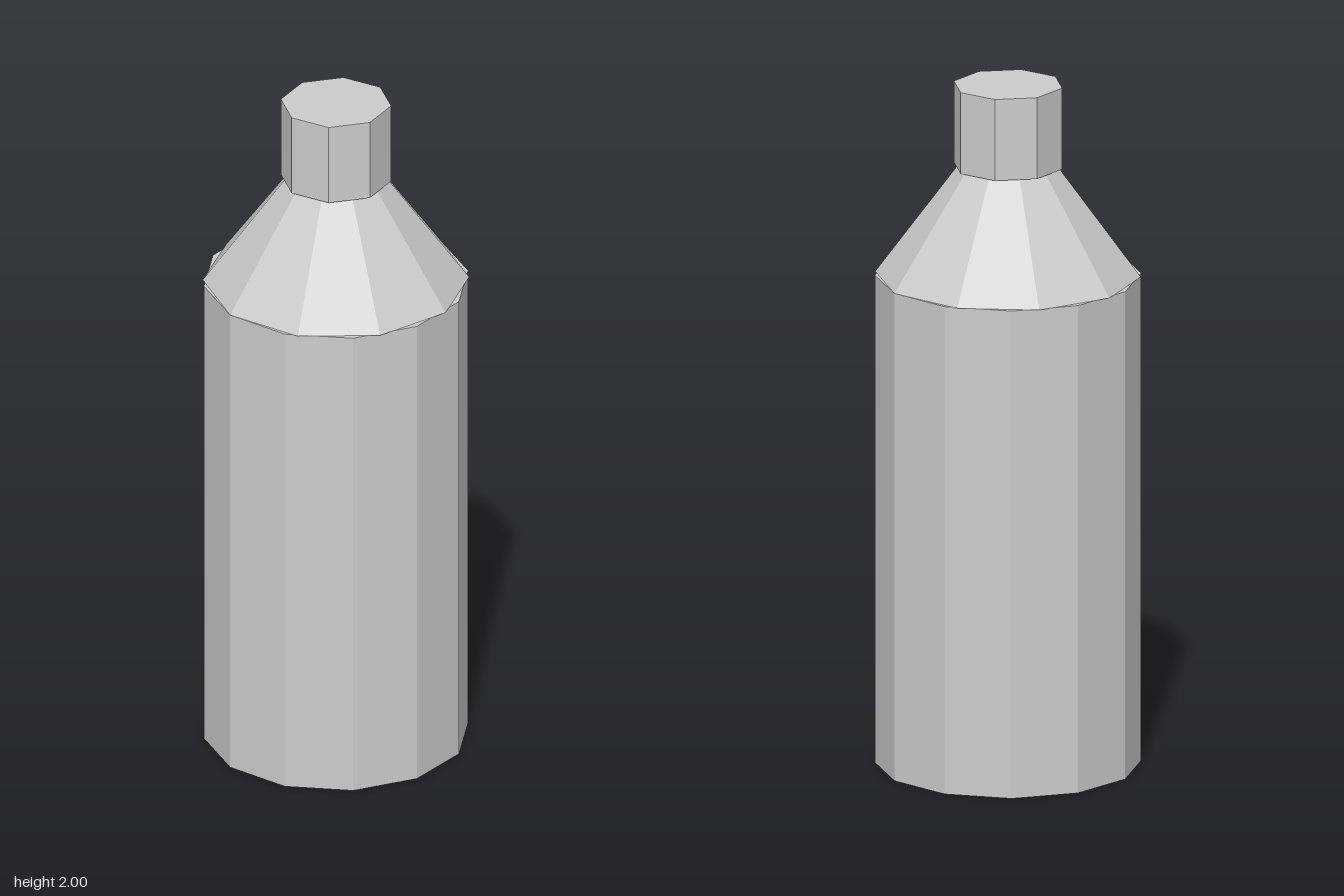
import * as THREE from 'three';

export function createModel() {
  const bottle = new THREE.Group();
  bottle.name = 'bottle';
  const grey = new THREE.MeshStandardMaterial({ color: 0xcccccc, flatShading: true });
  grey.name = 'light grey';

  // Closed faceted section standing between two heights
  function addSection(name, topRadius, bottomRadius, y0, y1, sides) {
    const geometry = new THREE.CylinderGeometry(topRadius, bottomRadius, y1 - y0, sides);
    const mesh = new THREE.Mesh(geometry, grey);
    mesh.name = name;
    mesh.position.y = (y0 + y1) / 2;
    bottle.add(mesh);
  }

  addSection('body', 0.378, 0.378, 0, 1.44, 12);
  addSection('shoulder', 0.142, 0.378, 1.44, 1.76, 10);
  addSection('cap', 0.158, 0.158, 1.76, 2, 8);

  return bottle;
}
